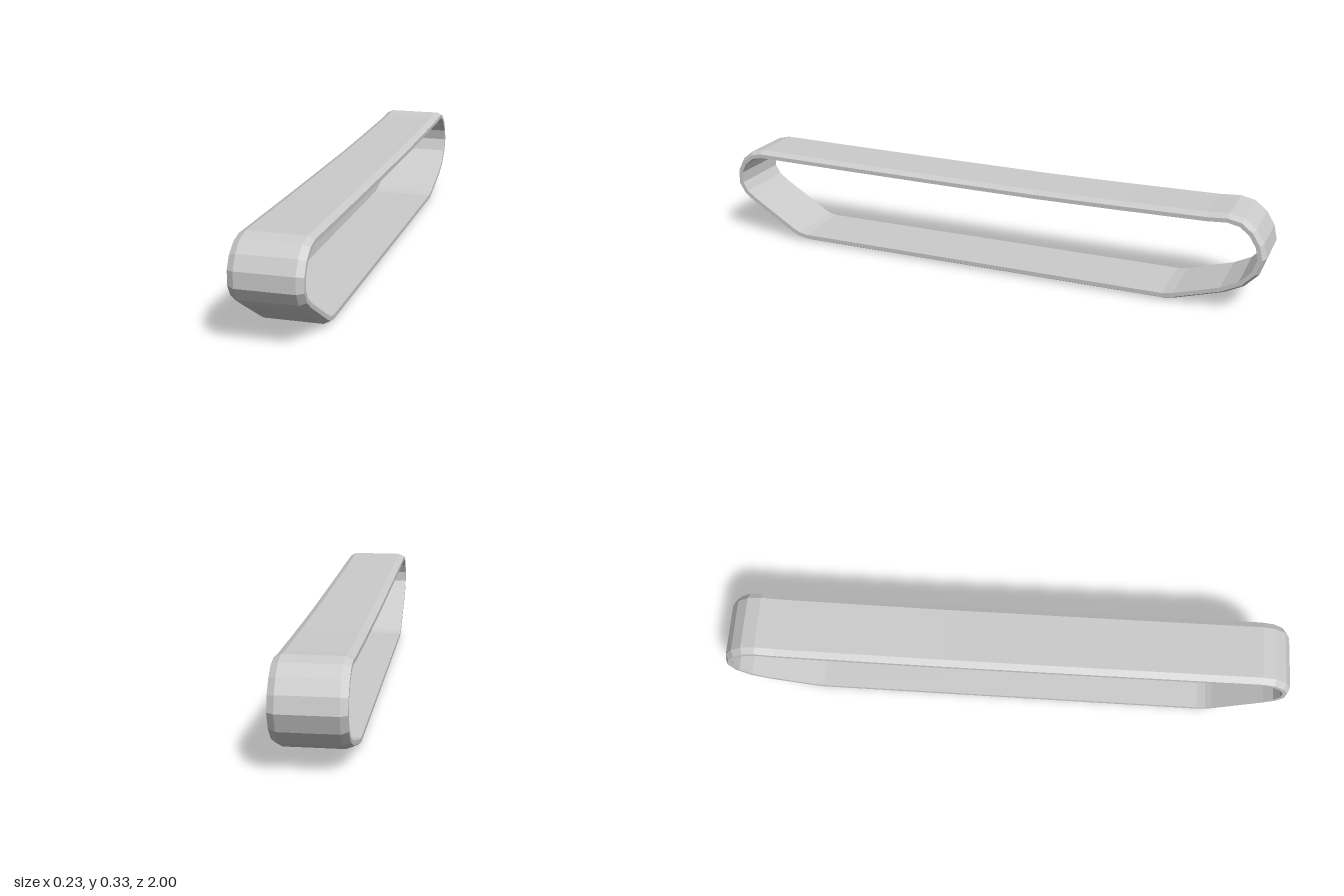
import * as THREE from 'three';

// Outer path of the belt as [z, y], from top front, down, along the ground and back over
const path = [
  [0.89, 0.333], [0.935, 0.322], [0.976, 0.29], [0.999, 0.245], [0.999, 0.193],
  [0.975, 0.152], [0.94, 0.125], [0.77, 0.019], [0.745, 0.007], [0.71, 0],
  [-0.67, 0], [-0.71, 0.007], [-0.87, 0.055], [-0.935, 0.088], [-0.98, 0.135],
  [-1, 0.193], [-0.988, 0.245], [-0.96, 0.29], [-0.92, 0.322], [-0.87, 0.333],
  [-0.8, 0.328], [-0.5, 0.324], [-0.2, 0.322], [0.2, 0.325], [0.5, 0.328],
].map(([z, y]) => new THREE.Vector2(z, y));

// Band cross-section as [x, depth below the outer face], outer edges bevelled
const section = [
  [0.093, 0], [0.115, 0.011], [0.115, 0.025],
  [-0.115, 0.025], [-0.115, 0.011], [-0.093, 0],
];

// Outward mitre vector at each path point
function mitre(i) {
  const n = path.length;
  const normal = (a, b) => new THREE.Vector2(a.y - b.y, b.x - a.x).normalize();
  const n1 = normal(path[(i + n - 1) % n], path[i]);
  const n2 = normal(path[i], path[(i + 1) % n]);
  return n1.clone().add(n2).divideScalar(1 + n1.dot(n2));
}

function bandGeometry() {
  const n = path.length, m = section.length;
  const positions = [], index = [];
  path.forEach((p, i) => {
    const out = mitre(i);
    for (const [x, d] of section) positions.push(x, p.y - out.y * d, p.x - out.x * d);
  });
  for (let i = 0; i < n; i++) {
    for (let j = 0; j < m; j++) {
      const i2 = (i + 1) % n, j2 = (j + 1) % m;
      const a = i * m + j, b = i2 * m + j, c = i2 * m + j2, d = i * m + j2;
      index.push(a, b, c, a, c, d);
    }
  }
  const indexed = new THREE.BufferGeometry();
  indexed.setAttribute('position', new THREE.Float32BufferAttribute(positions, 3));
  indexed.setIndex(index);
  const geometry = indexed.toNonIndexed();
  geometry.computeVertexNormals();
  return geometry;
}

export function createModel() {
  const group = new THREE.Group();
  const material = new THREE.MeshStandardMaterial({ color: 0xcccccc, flatShading: true });
  const belt = new THREE.Mesh(bandGeometry(), material);
  belt.name = 'trackBelt';
  group.add(belt);
  return group;
}
